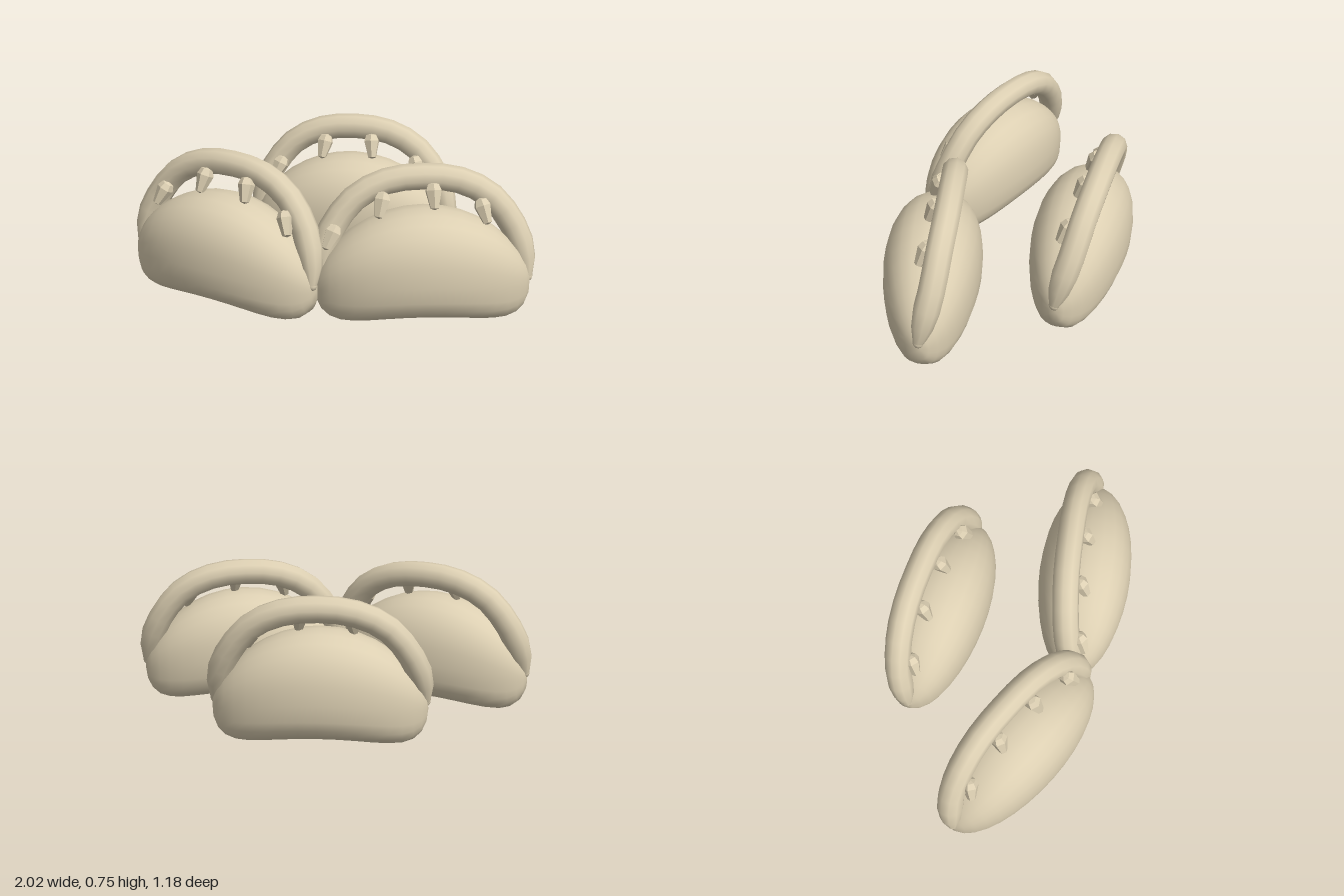
import * as THREE from 'three';
import { mergeVertices } from 'three/addons/utils/BufferGeometryUtils.js';

const dough = new THREE.MeshStandardMaterial({ color: 0xdccfb2 });
dough.name = 'dough';

const mesh = (name, geometry) => {
  const m = new THREE.Mesh(geometry, dough);
  m.name = name;
  return m;
};

// Plump belly: domed above, flatter and squarer below, drooping towards both ends
function bellyGeometry() {
  const sphere = new THREE.SphereGeometry(1, 24, 18).rotateZ(-Math.PI / 2);
  sphere.deleteAttribute('uv');
  sphere.deleteAttribute('normal');
  const geo = mergeVertices(sphere, 1e-4);
  const p = geo.attributes.position;
  const power = (v, e) => Math.sign(v) * Math.pow(Math.abs(v), e);
  for (let i = 0; i < p.count; i++) {
    const u = p.getX(i);
    const r = Math.hypot(p.getY(i), p.getZ(i));
    const c = r > 1e-4 ? p.getY(i) / r : 0;
    const s = r > 1e-4 ? p.getZ(i) / r : 0;
    const e = c > 0 ? 0.88 : 0.74;
    const height = c > 0 ? 0.312 * r : 0.222 * Math.sqrt(Math.max(0, 1 - u ** 6));
    p.setXYZ(i, u * 0.525, 0.252 - 0.085 * u * u + height * power(c, e), 0.237 * Math.pow(r, 1.05) * power(s, e));
  }
  geo.computeVertexNormals();
  return geo;
}

// Rolled rim: an arch leaning back, tapering at both ends
const half = [[0.508, 0.2, 0.01], [0.487, 0.32, -0.018], [0.43, 0.46, -0.053], [0.32, 0.595, -0.078], [0.17, 0.668, -0.094]];
const rimPath = new THREE.CatmullRomCurve3([
  ...half.map(([x, y, z]) => new THREE.Vector3(-x, y, z)),
  new THREE.Vector3(0, 0.687, -0.097),
  ...half.slice().reverse().map((a) => new THREE.Vector3(...a)),
]);

function rimGeometry() {
  const rings = 18, sides = 10;
  const geo = new THREE.TubeGeometry(rimPath, rings, 0.065, sides);
  const p = geo.attributes.position, v = new THREE.Vector3();
  for (let i = 0; i <= rings; i++) {
    const centre = rimPath.getPointAt(i / rings);
    const k = Math.min(1, 0.42 + 0.4 * Math.min(i, rings - i));
    for (let j = 0; j <= sides; j++) {
      const n = i * (sides + 1) + j;
      v.fromBufferAttribute(p, n).sub(centre).multiplyScalar(k).add(centre);
      p.setXYZ(n, v.x, v.y, v.z);
    }
  }
  geo.computeVertexNormals();
  return geo;
}

// Small faceted pleat between rim and belly
function pleatGeometry() {
  const profile = [[0, -0.068], [0.022, -0.06], [0.042, 0.025], [0.03, 0.055], [0, 0.066]];
  const geo = new THREE.LatheGeometry(profile.map((a) => new THREE.Vector2(...a)), 6).toNonIndexed();
  geo.computeVertexNormals();
  return geo;
}

export function createModel() {
  const model = new THREE.Group();
  model.name = 'dumplings';
  const belly = bellyGeometry(), rim = rimGeometry(), pleat = pleatGeometry();
  const tip = new THREE.SphereGeometry(0.0275, 10, 8);

  const addDumpling = (name, x, z, turn, pleatShift) => {
    const g = new THREE.Group();
    g.name = name;
    g.add(mesh('belly', belly), mesh('rim', rim));
    for (const side of [-1, 1]) {
      const end = mesh('rimTip', tip);
      end.position.set(side * 0.508, 0.2, 0.01);
      g.add(end);
    }
    // Pleats follow the arch and lean towards its middle
    for (const at of [-0.365, -0.125, 0.125, 0.365]) {
      const px = at + pleatShift;
      const m = mesh('pleat', pleat);
      m.position.set(px, 0.62 - 0.95 * px * px, -0.017 + 0.2 * px * px);
      m.rotation.set(-0.45, 0, px);
      g.add(m);
    }
    g.position.set(x, 0, z);
    g.rotation.y = turn;
    model.add(g);
  };

  addDumpling('frontRightDumpling', -0.48, 0.32, -0.28, 0);
  addDumpling('frontLeftDumpling', 0.5, 0.245, 0.3, -0.08);
  addDumpling('backDumpling', 0.005, -0.35, 0.09, -0.03);
  return model;
}
